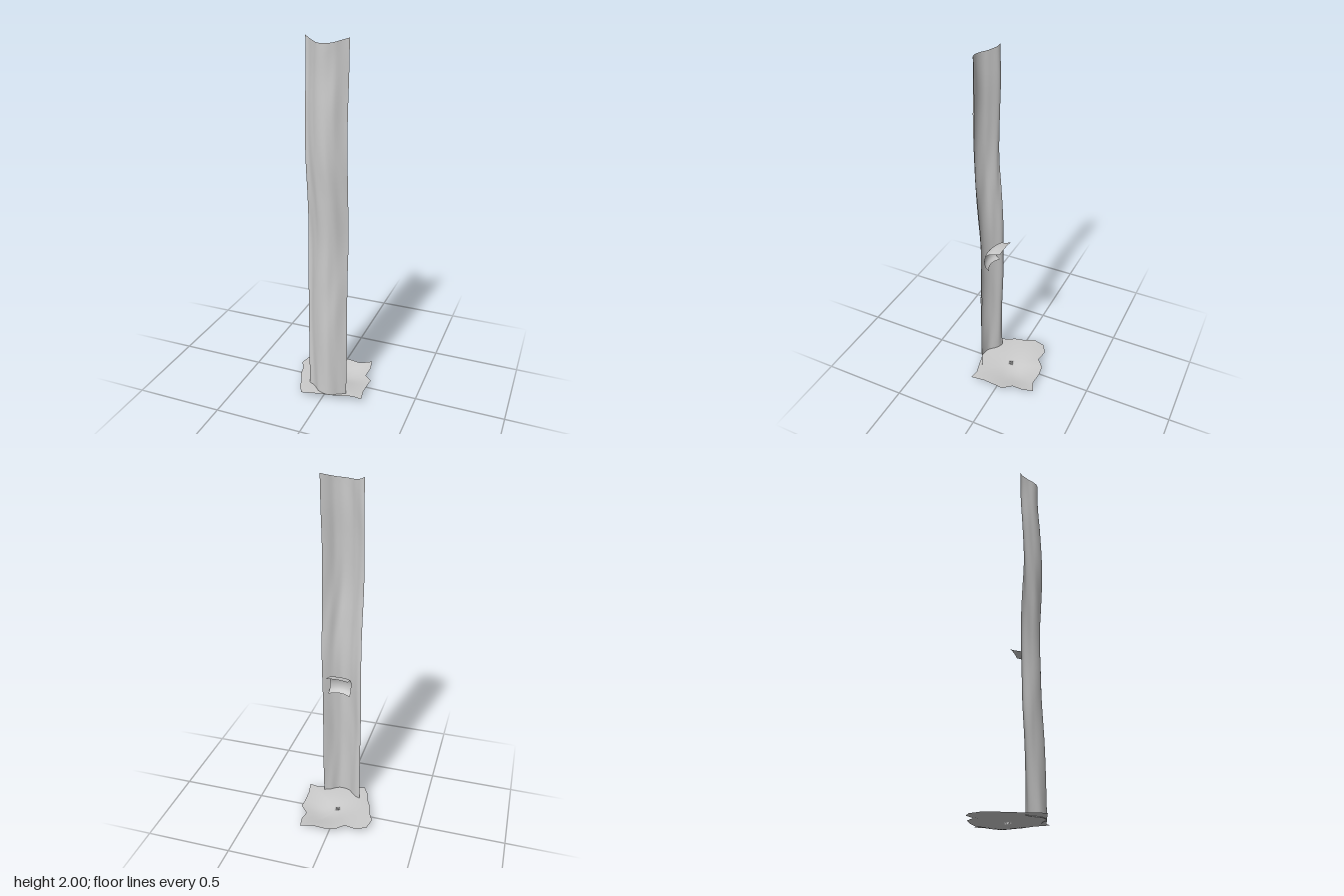
import * as THREE from 'three';

const material = new THREE.MeshStandardMaterial({ color: 0xcccccc, side: THREE.DoubleSide });

// Smooth open sheet: fn(u, v) gives the point for u, v in 0..1
function sheet(name, nu, nv, fn) {
  const geo = new THREE.PlaneGeometry(1, 1, nu, nv);
  const pos = geo.attributes.position;
  for (let i = 0; i < pos.count; i++) {
    const [x, y, z] = fn(pos.getX(i) + 0.5, pos.getY(i) + 0.5);
    pos.setXYZ(i, x, y, z);
  }
  geo.computeVertexNormals();
  const mesh = new THREE.Mesh(geo, material);
  mesh.name = name;
  return mesh;
}

const curve = (points) =>
  new THREE.CatmullRomCurve3(points.map(([a, b]) => new THREE.Vector3(a, b, 0)), false, 'centripetal');

// Height of the shallow, bowl-like ground patch
function groundHeight(x, z) {
  const dip = Math.exp(-((x - 0.08) ** 2 + (z + 0.05) ** 2) / 0.014);
  return 0.034 - 0.032 * dip + 0.002 * Math.sin(x * 22) * Math.cos(z * 19);
}

export function createModel() {
  const model = new THREE.Group();
  model.name = 'barkTrunk';

  // Trunk: a gutter-shaped strip of bark, bulging to the front and swaying along its height
  const section = curve([
    [-0.106, 0.107], [-0.085, 0.114], [-0.055, 0.14], [-0.025, 0.164],
    [0.025, 0.178], [0.06, 0.168], [0.09, 0.149], [0.127, 0.127],
  ]);
  const sway = curve([
    [0.03, 0.006], [0.4, 0.002], [0.7, -0.006], [0.95, -0.01],
    [1.2, 0.002], [1.4, 0.011], [1.65, 0.008], [1.85, -0.001], [2, -0.003],
  ]);
  model.add(sheet('trunk', 24, 80, (u, v) => {
    const p = section.getPoint(u), s = sway.getPoint(v);
    const ripple = 0.003 * Math.sin(u * 17 + Math.sin(s.x * 5) * 1.5) * Math.sin(s.x * 6 + u * 5);
    const notch = 0.025 * Math.sin(Math.PI * u) * THREE.MathUtils.smoothstep(v, 0.9, 1);
    return [p.x + 0.002 * Math.sin(s.x * 7), s.x - notch, p.y + s.y + ripple];
  }));

  // Spout: a small curled flap on the hollow side of the trunk
  const curl = curve([
    [0.105, 0.768], [0.126, 0.788], [0.132, 0.82], [0.122, 0.858],
    [0.094, 0.885], [0.06, 0.895], [0.028, 0.907],
  ]);
  model.add(sheet('spout', 12, 20, (u, v) => {
    const p = curl.getPoint(v), k = 2 * u - 1;
    const bow = 0.012 * (1 - 2 * k * k) * (1 - v);
    const x = 0.015 + 0.006 * (1 - v) + k * 0.063;
    return [x, p.y - 0.006 * k * k * v, p.x + bow + 0.002 * k];
  }));

  // Ground: ragged patch filled from its outline towards the middle
  const outline = [
    [-0.113, 0.22], [-0.145, 0.168], [-0.16, 0.11], [-0.187, 0.058], [-0.2, -0.005],
    [-0.228, -0.058], [-0.213, -0.128], [-0.155, -0.16], [-0.084, -0.148], [-0.035, -0.194],
    [0.025, -0.2], [0.1, -0.193], [0.166, -0.222], [0.179, -0.153], [0.171, -0.09],
    [0.217, -0.043], [0.213, 0.01], [0.213, 0.08], [0.227, 0.159], [0.172, 0.15],
    [0.075, 0.175], [-0.02, 0.197],
  ];
  const count = outline.length;
  const rings = 10;
  const vertices = [];
  const index = [];
  for (let r = 0; r <= rings; r++) {
    for (const [ox, oz] of outline) {
      const x = ox * r / rings, z = oz * r / rings;
      vertices.push(x, groundHeight(x, z), z);
    }
  }
  for (let r = 0; r < rings; r++) {
    for (let i = 0; i < count; i++) {
      const a = r * count + i, b = r * count + (i + 1) % count;
      const c = a + count, d = b + count;
      // the outline runs clockwise seen from above
      if (r > 0) index.push(a, b, c);
      index.push(b, d, c);
    }
  }
  const geo = new THREE.BufferGeometry();
  geo.setAttribute('position', new THREE.Float32BufferAttribute(vertices, 3));
  // flip so that the upper side is the front
  for (let i = 0; i < index.length; i += 3) [index[i], index[i + 1]] = [index[i + 1], index[i]];
  geo.setIndex(index);
  geo.computeVertexNormals();
  // the centre is one shared point, so give its copies the same normal
  for (let i = 0; i < count; i++) geo.attributes.normal.setXYZ(i, 0, 1, 0);
  const ground = new THREE.Mesh(geo, material);
  ground.name = 'groundPatch';
  model.add(ground);

  return model;
}
